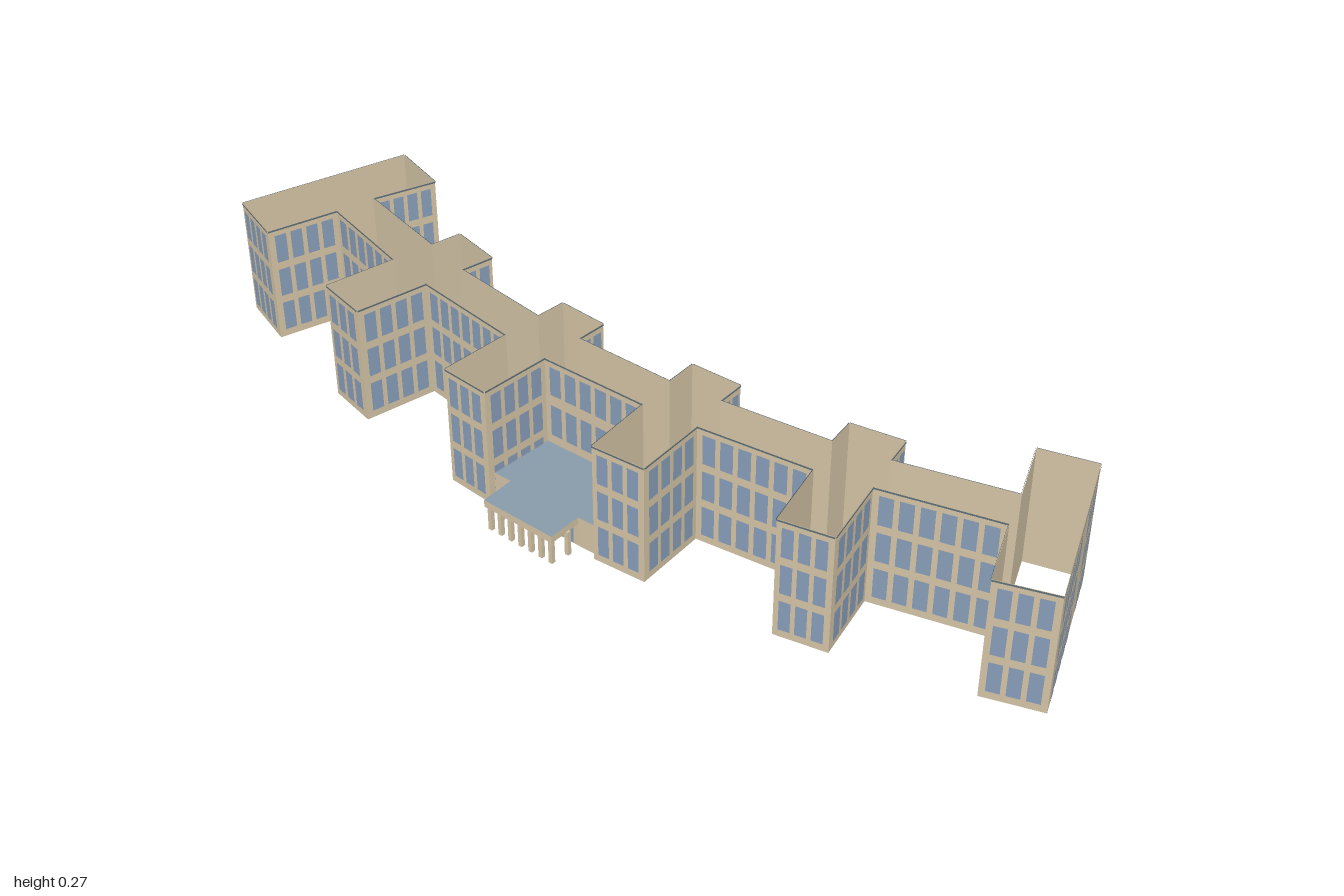
import * as THREE from 'three';
import { mergeGeometries } from 'three/addons/utils/BufferGeometryUtils.js';

const HEIGHT = 0.272;
const FLOORS = [[0.018, 0.087], [0.105, 0.172], [0.19, 0.257]];
const UPPER = [[0.092, 0.165], [0.19, 0.257]];

export function createModel() {
  const make = (name, color, double) => {
    const m = new THREE.MeshStandardMaterial({ color });
    m.name = name;
    if (double) m.side = THREE.DoubleSide;
    return m;
  };
  const stone = make('stone', 0xd3c3a5, true);
  const glass = make('glass', 0x879db8, false);
  const slate = make('slate', 0x8799a8, true);
  const coping = make('coping', 0x5f7078, true);

  const model = new THREE.Group();
  model.name = 'building';
  const add = (name, geo, mat, parent = model) => {
    const mesh = new THREE.Mesh(geo, mat);
    mesh.name = name;
    parent.add(mesh);
    return mesh;
  };

  // Upright panel on the run p -> q, between fractions t0..t1 and heights y0..y1
  const panel = (p, q, y0, y1, t0 = 0, t1 = 1, out = 0) => {
    const dx = q[0] - p[0], dz = q[1] - p[1], len = Math.hypot(dx, dz);
    const nx = dz / len, nz = -dx / len, t = (t0 + t1) / 2;
    const g = new THREE.PlaneGeometry(len * (t1 - t0), y1 - y0);
    g.rotateY(Math.atan2(nx, nz));
    return g.translate(p[0] + dx * t + nx * out, (y0 + y1) / 2, p[1] + dz * t + nz * out);
  };
  // Row of panels along an open path
  const ribbon = (pts, y0, y1, out = 0) => mergeGeometries(
    pts.slice(1).map((q, i) => panel(pts[i], q, y0, y1, 0, 1, out)));
  // Horizontal sheet over an outline
  const sheet = (pts, y) => new THREE.ShapeGeometry(
    new THREE.Shape(pts.map(([x, z]) => new THREE.Vector2(x, -z))))
    .rotateX(-Math.PI / 2).translate(0, y, 0);
  // Window grid: runs are [t0, t1, count]
  const windows = (p, q, runs, floors) => {
    const list = [];
    for (const [t0, t1, n] of runs) {
      const pitch = (t1 - t0) / n;
      for (let i = 0; i < n; i++) {
        const c = t0 + pitch * (i + 0.5);
        for (const [y0, y1] of floors) {
          list.push(panel(p, q, y0, y1, c - pitch * 0.36, c + pitch * 0.36, 0.002));
        }
      }
    }
    return mergeGeometries(list);
  };

  // Plan corners [x, z]: along the back to the right, then along the front
  const back = [
    [-0.963, -0.027], [-0.82, -0.016], [-0.842, 0.13], [-0.6, 0.136], [-0.6, 0.065],
    [-0.48, 0.065], [-0.48, 0.14], [-0.24, 0.117], [-0.248, 0.05], [-0.136, 0.032],
    [-0.125, 0.1], [0.1, 0.05], [0.083, -0.02], [0.195, -0.048], [0.21, 0.014],
    [0.436, -0.067], [0.414, -0.13], [0.52, -0.174], [0.545, -0.112], [0.763, -0.227],
    [0.684, -0.348], [0.79, -0.405],
  ];
  const front = [
    [1, -0.083], [0.893, -0.018], [0.807, -0.15], [0.583, -0.033], [0.647, 0.115],
    [0.545, 0.162], [0.478, 0.016], [0.246, 0.1], [0.286, 0.257], [0.173, 0.291],
    [0.128, 0.136], [-0.112, 0.193], [-0.09, 0.35], [-0.2, 0.367], [-0.225, 0.206],
    [-0.48, 0.228], [-0.48, 0.393], [-0.6, 0.393], [-0.6, 0.23], [-0.845, 0.22],
    [-0.86, 0.382], [-1, 0.365],
  ];
  const plan = [...back, ...front];
  // Walls whose windows break the even rhythm
  const special = {
    4: [], 16: [],
    20: [[0.08, 0.72, 2]],
    21: [[0.09, 0.34, 3], [0.49, 0.985, 5]],
    43: [[0.015, 0.51, 5], [0.66, 0.91, 3]],
  };
  const centreFront = 32, centreBack = 10;

  // Main walls, each with its windows
  plan.forEach((p, i) => {
    const q = plan[(i + 1) % plan.length];
    const bay = new THREE.Group();
    bay.name = 'wallBay';
    model.add(bay);
    add('wall', panel(p, q, 0, HEIGHT), stone, bay);
    const len = Math.hypot(q[0] - p[0], q[1] - p[1]);
    const m = Math.min(0.06, 0.008 / len);
    const runs = special[i] || [[m, 1 - m, Math.max(1, Math.round(len / 0.039))]];
    const low = i === centreFront || i === centreBack;
    if (runs.length) add('windows', windows(p, q, runs, low ? UPPER : FLOORS), glass, bay);
  });
  add('coping', ribbon([...plan, plan[0]], HEIGHT - 0.004, HEIGHT, 0.0015), coping);

  // Round-ended hall behind the centre
  const apse = [[-0.125, 0.1], [-0.133, 0.06], [-0.112, 0.055]];
  for (let i = 0; i <= 20; i++) {
    const a = Math.PI * (1 + i / 20) - 0.05;
    apse.push([-0.035 + 0.083 * Math.cos(a), -0.022 + 0.083 * Math.sin(a)]);
  }
  apse.push([0.059, 0.02], [0.09, 0.012], [0.1, 0.05]);
  const hall = new THREE.Group();
  hall.name = 'roundHall';
  model.add(hall);
  add('hallWall', ribbon(apse, 0, 0.07), stone, hall);
  add('hallGlazing', ribbon(apse.slice(3, -3), 0.02, 0.052, 0.002), glass, hall);
  add('hallRoof', sheet(apse, 0.071), slate, hall);

  // Entrance hall and portico in the front recess
  const porchFront = [
    [0.167, 0.28], [0.123, 0.291], [0.139, 0.365], [-0.032, 0.402], [-0.05, 0.327], [-0.092, 0.337],
  ];
  const porch = new THREE.Group();
  porch.name = 'entrance';
  model.add(porch);
  add('porchRoof', sheet([[-0.112, 0.193], [0.128, 0.136], ...porchFront], 0.07), slate, porch);
  add('porchCeiling', sheet(porchFront.slice(1, 5), 0.054), slate, porch);
  add('porchFascia', ribbon(porchFront, 0.054, 0.07), stone, porch);
  const [rightEnd, rightDoor, rightTip, leftTip, leftDoor, leftEnd] = porchFront;
  add('entranceWallRight', panel(rightEnd, rightDoor, 0, 0.056), stone, porch);
  add('entranceWallLeft', panel(leftDoor, leftEnd, 0, 0.056), stone, porch);
  add('entranceWall', panel(rightDoor, leftDoor, 0, 0.056), stone, porch);
  add('entranceDoors', windows(rightDoor, leftDoor, [[0.04, 0.96, 6]], [[0.003, 0.046]]), glass, porch);

  // Portico columns along the front edge and halfway down each side
  const column = new THREE.BoxGeometry(0.009, 0.056, 0.009).rotateY(0.21);
  const place = (p, q, t) => {
    const c = add('column', column, stone, porch);
    c.position.set(p[0] + (q[0] - p[0]) * t, 0.028, p[1] + (q[1] - p[1]) * t - 0.007);
  };
  for (let i = 0; i < 7; i++) place(rightTip, leftTip, 0.05 + 0.15 * i);
  place([0.125, 0.291], [0.134, 0.365], 0.5);
  place([-0.044, 0.327], [-0.028, 0.402], 0.5);

  return model;
}
